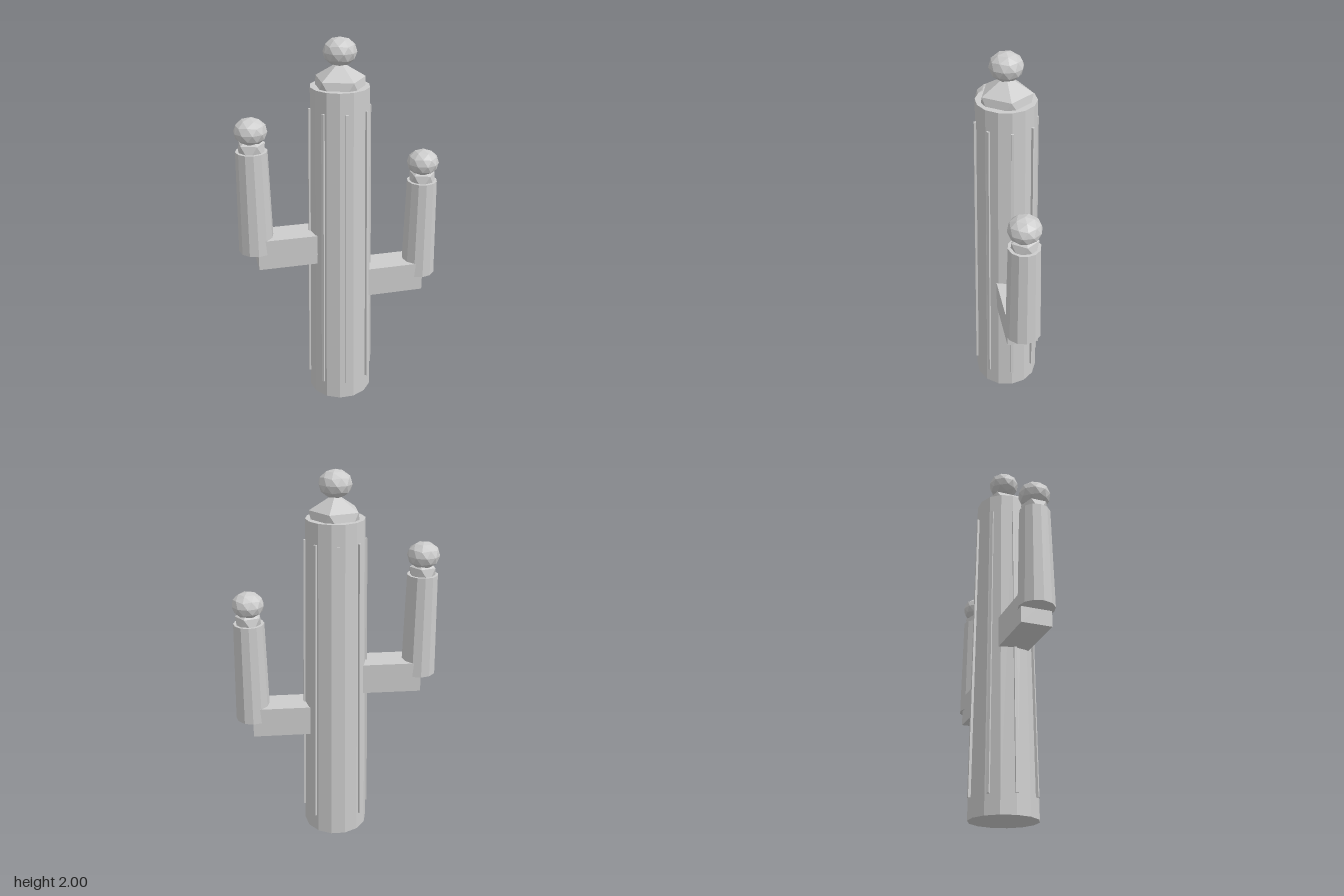
import * as THREE from 'three';

export function createModel() {
  const grey = new THREE.MeshStandardMaterial({ color: 0xcccccc, flatShading: true });
  grey.name = 'plain grey';
  const model = new THREE.Group();
  model.name = 'cactus';

  function add(parent, name, geometry, x = 0, y = 0, z = 0) {
    const mesh = new THREE.Mesh(geometry, grey);
    mesh.name = name;
    mesh.position.set(x, y, z);
    parent.add(mesh);
    return mesh;
  }

  // Icosahedron standing on one corner, with an upper-ring corner towards +x
  function ico(radius, detail = 0, squash = 1) {
    const g = new THREE.IcosahedronGeometry(radius, detail);
    g.rotateZ(-Math.atan(2 / (1 + Math.sqrt(5))));
    return g.scale(1, squash, 1);
  }

  // Tapered column with a corner on the x axis
  function column(rTop, rBottom, height, sides) {
    return new THREE.CylinderGeometry(rTop, rBottom, height, sides).rotateY(Math.PI / 2);
  }

  // Trunk with its pointed cap and ball flower
  add(model, 'trunk', column(0.149, 0.175, 1.765, 14), 0, 0.8825);
  add(model, 'trunkCap', ico(0.145), 0, 1.739);
  add(model, 'trunkFlower', ico(0.084, 1, 0.83), 0, 1.93);

  // Eight thin ribs leaning in with the taper of the trunk
  for (let i = 0; i < 8; i++) {
    const holder = new THREE.Group();
    holder.name = 'ribHolder';
    holder.rotation.y = i * Math.PI / 4;
    const rib = add(holder, 'rib', new THREE.BoxGeometry(0.014, 1.56, 0.025), 0, 0.88, 0.158);
    rib.rotation.x = -Math.atan(0.024 / 1.56);
    model.add(holder);
  }

  // Arms: a horizontal beam, an upright column, a cap and a flower
  function addArm(name, side, beamY, baseY) {
    const arm = new THREE.Group();
    arm.name = name;
    const x = side * 0.447, height = 0.545, top = baseY + height;
    add(arm, 'armBeam', new THREE.BoxGeometry(0.31, 0.162, 0.16), side * 0.293, beamY);
    add(arm, 'armColumn', column(0.08, 0.092, height, 12), x, baseY + height / 2);
    add(arm, 'armCap', ico(0.077), x, top + 0.006);
    add(arm, 'armFlower', ico(0.084, 1, 0.83), x, top + 0.1);
    model.add(arm);
  }
  addArm('rightArm', -1, 0.918, 0.92);
  addArm('leftArm', 1, 0.683, 0.682);

  return model;
}
